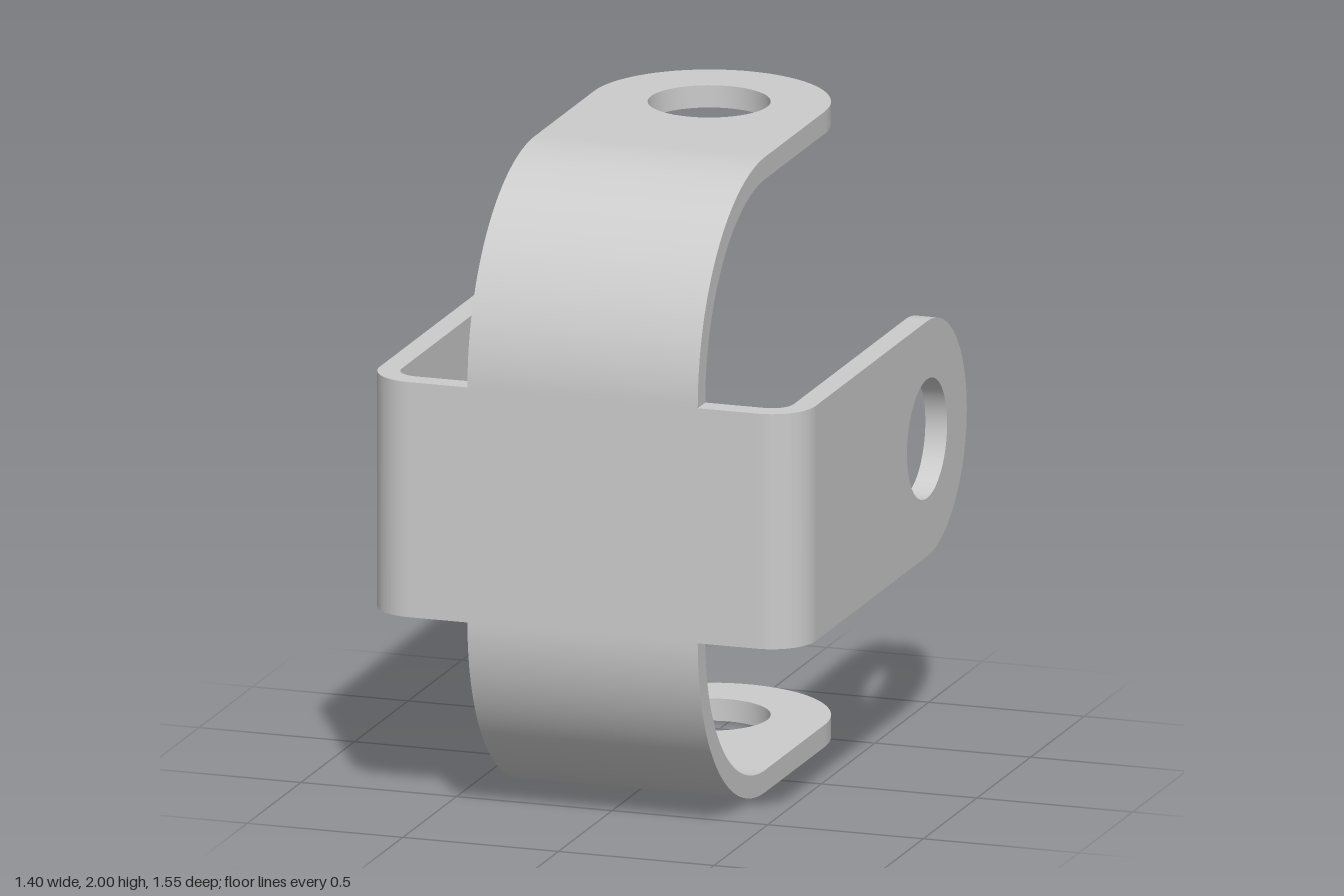
import * as THREE from 'three';
import { toCreasedNormals } from 'three/addons/utils/BufferGeometryUtils.js';

const T = 0.07;        // sheet thickness
const HALF = 0.37;     // half strap width
const FRONT = 0.775;   // outer face of the front plate
const EYE_Z = -0.405;  // centre of the rounded arm end
const EYE_R = 0.187;   // hole radius

const extrude = (shape, depth) =>
  new THREE.ExtrudeGeometry(shape, { depth, bevelEnabled: false, curveSegments: 36 });

// Quarter-round bend from the front plate into an arm pointing back
function bendGeometry(span, radius) {
  const cx = span - radius, cz = FRONT - radius;
  const s = new THREE.Shape();
  s.absarc(cx, cz, radius, 0, Math.PI / 2, false);
  s.absarc(cx, cz, radius - T, Math.PI / 2, 0, true);
  s.closePath();
  const g = extrude(s, HALF * 2);
  g.translate(0, 0, -HALF).rotateX(Math.PI / 2);
  return toCreasedNormals(g, 0.5);
}

// Flat arm with a rounded end and a round hole
function armGeometry(span, radius) {
  const start = FRONT - radius;
  const s = new THREE.Shape();
  s.moveTo(start, -HALF);
  s.lineTo(start, HALF);
  s.lineTo(EYE_Z, HALF);
  s.absarc(EYE_Z, 0, HALF, Math.PI / 2, Math.PI * 1.5, false);
  s.closePath();
  const hole = new THREE.Path();
  hole.absarc(EYE_Z, 0, EYE_R, 0, Math.PI * 2, true);
  s.holes.push(hole);
  const g = extrude(s, T);
  g.rotateY(-Math.PI / 2).translate(span, 0, 0);
  return toCreasedNormals(g, 0.5);
}

export function createModel() {
  const model = new THREE.Group();
  model.name = 'crossBracket';
  const material = new THREE.MeshStandardMaterial({ color: 0xcccccc });
  const add = (parent, geometry, name) => {
    const mesh = new THREE.Mesh(geometry, material);
    mesh.name = name;
    parent.add(mesh);
    return mesh;
  };

  // Side arms have a tight bend, upper and lower arms a wide one
  const side = { span: 0.70, radius: 0.14 };
  const upright = { span: 1.0, radius: 0.63 };

  // Front plate, reaching to the side bends
  const plate = add(model,
    new THREE.BoxGeometry(2 * (side.span - side.radius), HALF * 2, T), 'frontPlate');
  plate.position.set(0, 1, FRONT - T / 2);

  // Four arms turned around the front axis
  ['left', 'upper', 'right', 'lower'].forEach((name, i) => {
    const { span, radius } = i % 2 ? upright : side;
    const strap = new THREE.Group();
    strap.name = name + 'Strap';
    add(strap, bendGeometry(span, radius), name + 'Bend');
    add(strap, armGeometry(span, radius), name + 'Arm');
    strap.position.y = 1;
    strap.rotation.z = i * Math.PI / 2;
    model.add(strap);
  });
  return model;
}
